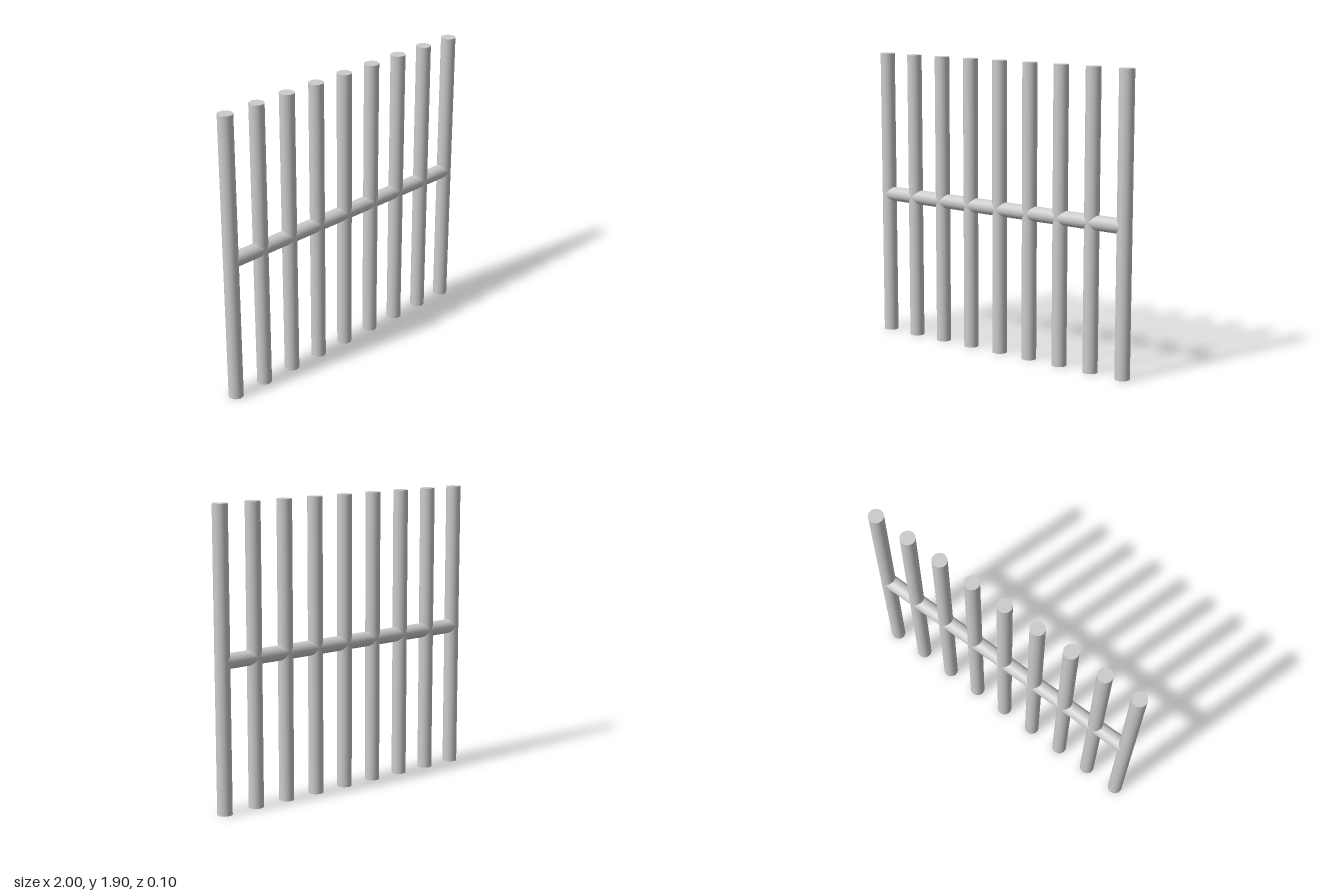
import * as THREE from 'three';

export function createModel() {
  const model = new THREE.Group();
  model.name = 'railing';
  const material = new THREE.MeshStandardMaterial({ color: 0xcccccc });

  // All proportions follow from the bar radius
  const count = 9;
  const radius = 2 / 42;
  const spacing = 5 * radius;
  const span = (count - 1) * spacing;
  const height = 40 * radius;

  const addRod = (name, length, x, y) => {
    const rod = new THREE.Mesh(new THREE.CylinderGeometry(radius, radius, length, 48), material);
    rod.name = name;
    rod.position.set(x, y, 0);
    model.add(rod);
    return rod;
  };

  // Evenly spaced upright bars
  for (let i = 0; i < count; i++) {
    addRod(`uprightBar${i + 1}`, height, i * spacing - span / 2, height / 2);
  }

  // Cross bar at mid height, ending on the axes of the outer uprights
  addRod('crossBar', span, 0, height / 2).rotation.z = Math.PI / 2;

  return model;
}
